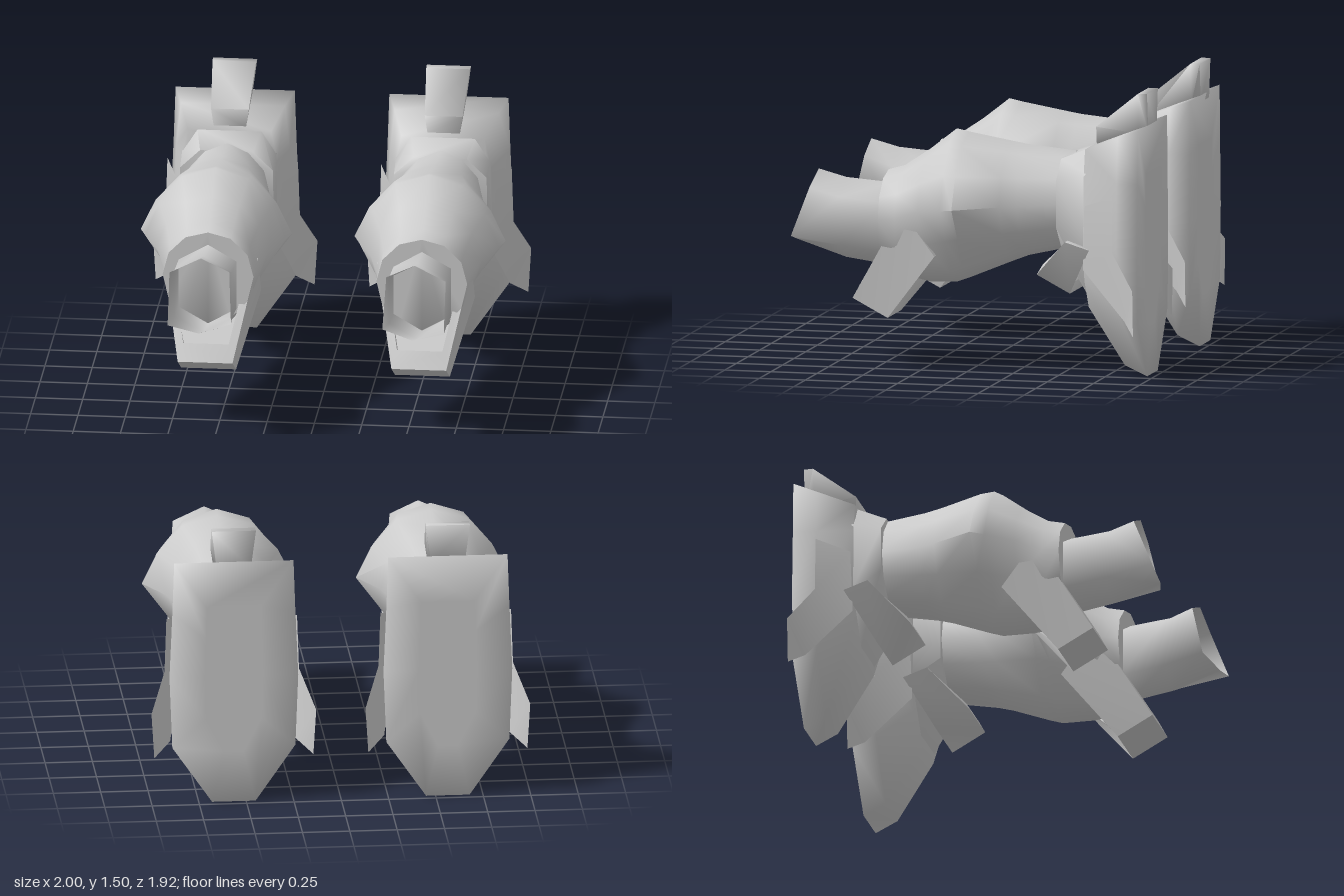
import * as THREE from 'three';
import { toCreasedNormals } from 'three/addons/utils/BufferGeometryUtils.js';

const CX = 0.565; // distance of each unit from the middle

// Skin a list of equal-length rings of [x, y, z]; end caps are optional.
function loft(rings, { caps = true, crease = Math.PI } = {}) {
  const n = rings[0].length;
  const pts = rings.flat();
  const idx = [];
  for (let r = 0; r < rings.length - 1; r++) {
    for (let i = 0; i < n; i++) {
      const a = r * n + i, b = r * n + (i + 1) % n;
      idx.push(a, b, b + n, a, b + n, a + n);
    }
  }
  if (caps) {
    const e = (rings.length - 1) * n;
    for (let i = 1; i < n - 1; i++) idx.push(0, i + 1, i, e, e + i, e + i + 1);
  }
  // Turn the faces outward when the signed volume is negative
  const v = pts.map(p => new THREE.Vector3(...p));
  const c = v.reduce((s, p) => s.add(p), new THREE.Vector3()).divideScalar(v.length);
  let vol = 0;
  for (let i = 0; i < idx.length; i += 3) {
    const [a, b, d] = [0, 1, 2].map(k => v[idx[i + k]].clone().sub(c));
    vol += a.dot(b.cross(d));
  }
  if (vol < 0) idx.reverse();
  const g = new THREE.BufferGeometry();
  g.setAttribute('position', new THREE.Float32BufferAttribute(pts.flat(), 3));
  g.setIndex(idx);
  return toCreasedNormals(g, crease);
}

// Symmetric ring from its right half, listed top to bottom
function mirrorRing(half) {
  const left = half.filter(p => p[0] > 0).reverse().map(([x, y, z]) => [-x, y, z]);
  return [...half, ...left];
}

// Body ring: round where narrow, with a tapering underside where it bulges
const ROUND = [[0, 1], [0.5, 0.87], [0.87, 0.5], [1, 0], [0.87, -0.5], [0.5, -0.87], [0, -1]];
const BULGE = [[0, 1], [0.47, 0.86], [0.8, 0.46], [1, 0], [0.68, -0.42], [0.4, -0.83], [0, -1]];
function bodyRing(z, top, bottom, halfWidth, wideY) {
  const t = THREE.MathUtils.clamp((halfWidth - 0.24) / 0.1, 0, 1);
  return mirrorRing(ROUND.map(([rx, ry], i) => {
    const x = THREE.MathUtils.lerp(rx, BULGE[i][0], t);
    const y = THREE.MathUtils.lerp(ry, BULGE[i][1], t);
    return [x * halfWidth, wideY + y * (y > 0 ? top - wideY : wideY - bottom), z];
  }));
}

// U-shaped strap; each station is [outer x, inner x, front [y, z], back [y, z], inner lift]
function strap(stations) {
  const ring = ([xo, xi, f, b, lift], s) => [
    [s * xo, f[0], f[1]], [s * xo, b[0], b[1]],
    [s * xi, b[0] + lift, b[1]], [s * xi, f[0] + lift, f[1] - lift * 0.5],
  ];
  return loft([...stations.map(t => ring(t, 1)), ...stations.slice().reverse().map(t => ring(t, -1))],
    { crease: 1.2 });
}

function buildUnit(side) {
  const unit = new THREE.Group();
  unit.name = side > 0 ? 'leftUnit' : 'rightUnit';

  const add = (name, geometry, doubleSided = false) => {
    // Bake the mirroring into the vertices
    const pos = geometry.attributes.position, nor = geometry.attributes.normal;
    for (let i = 0; i < pos.count; i++) {
      pos.setX(i, side * (pos.getX(i) + CX));
      nor.setX(i, nor.getX(i) * side);
    }
    if (side < 0) {
      for (const attr of [pos, nor]) {
        for (let i = 0; i < attr.count; i += 3) {
          const b = [attr.getX(i + 1), attr.getY(i + 1), attr.getZ(i + 1)];
          attr.setXYZ(i + 1, attr.getX(i + 2), attr.getY(i + 2), attr.getZ(i + 2));
          attr.setXYZ(i + 2, ...b);
        }
      }
    }
    const material = new THREE.MeshStandardMaterial({
      color: 0xcccccc, side: doubleSided ? THREE.DoubleSide : THREE.FrontSide,
    });
    const mesh = new THREE.Mesh(geometry, material);
    mesh.name = name;
    unit.add(mesh);
  };

  // Bulging main body
  add('body', loft([
    [0.47, 1.04, 0.53, 0.24, 0.80],
    [0.38, 1.065, 0.48, 0.245, 0.81],
    [0.24, 1.16, 0.45, 0.295, 0.86],
    [0.10, 1.27, 0.455, 0.37, 0.88],
    [0.03, 1.255, 0.48, 0.40, 0.89],
    [-0.20, 1.215, 0.575, 0.29, 0.90],
    [-0.29, 1.20, 0.61, 0.265, 0.90],
    [-0.55, 1.175, 0.67, 0.22, 0.92],
  ].map(r => bodyRing(...r)), { crease: 1.1 }));

  // Open hexagonal muzzle with a slanted mouth
  const hexRing = (z, top, bottom) => {
    const h = top - bottom;
    return [[0, top, z], [0.155, top - h * 0.2, z], [0.155, bottom + h * 0.2, z],
      [0, bottom, z], [-0.15, bottom + h * 0.2, z], [-0.15, top - h * 0.2, z]];
  };
  add('muzzle', loft([
    hexRing(0.45, 0.97, 0.53),
    hexRing(0.70, 0.99, 0.565),
    [[0, 1.03, 0.85], [0.165, 0.95, 0.86], [0.165, 0.69, 0.96],
      [0, 0.65, 0.96], [-0.165, 0.69, 0.91], [-0.15, 0.96, 0.85]],
  ], { caps: false }), true);

  // Front strap, hanging forward under the body, with the web that fills its back
  add('frontStrap', strap([
    [0.25, 0.21, [0.86, 0.34], [0.62, 0.16], 0],
    [0.145, 0.12, [0.37, 0.63], [0.27, 0.44], 0.09],
  ]));
  add('strapWeb', loft([
    mirrorRing([[0.205, 0.66, 0.20], [0.205, 0.74, 0.28]]),
    mirrorRing([[0.125, 0.31, 0.45], [0.125, 0.38, 0.52]]),
  ], { crease: 0.6 }));

  // Rear strap, a smaller copy of the same idea
  add('rearStrap', strap([
    [0.30, 0.24, [0.73, -0.56], [0.69, -0.69], 0],
    [0.15, 0.12, [0.53, -0.37], [0.435, -0.55], 0.05],
  ]));

  // Collar joining the body to the flared rear shell
  add('collar', loft([
    mirrorRing([[0.14, 1.15, -0.50], [0.245, 1.05, -0.50], [0.25, 0.80, -0.50], [0.12, 0.66, -0.50]]),
    mirrorRing([[0.17, 1.215, -0.66], [0.25, 1.09, -0.66], [0.255, 0.70, -0.66], [0.12, 0.41, -0.65]]),
  ], { crease: 1.2 }));

  // Flared rear shell with a pointed lower end; the last ring insets the flat back
  const rim = [[0.315, 1.335, -0.96], [0.325, 1.05, -0.96], [0.34, 0.70, -0.96], [0.325, 0.31, -0.96], [0.115, 0.005, -0.96]];
  add('rearShell', loft([
    mirrorRing([[0.22, 1.215, -0.65], [0.255, 1.05, -0.65], [0.26, 0.70, -0.65], [0.235, 0.52, -0.65], [0.10, 0.36, -0.64]]),
    mirrorRing([[0.275, 1.29, -0.84], [0.30, 1.05, -0.84], [0.31, 0.70, -0.84], [0.29, 0.37, -0.84], [0.115, 0.06, -0.84]]),
    mirrorRing(rim),
    mirrorRing(rim.map(([x, y, z]) => [x * 0.45, 0.7 + (y - 0.7) * 0.6, z])),
  ]));

  // Wedge fin on top of the shell, narrower at its foot
  const finRing = (z, w, foot, top, bottom) => mirrorRing([[w, top, z], [foot, bottom, z]]);
  add('topFin', loft([
    finRing(-0.68, 0.10, 0.085, 1.32, 1.22),
    finRing(-0.91, 0.115, 0.09, 1.505, 1.29),
    finRing(-0.96, 0.117, 0.09, 1.505, 1.30),
  ], { crease: 1.7 }));

  // Thin outward flaps on both flanks of the shell, kicking out at the lower rear
  for (const s of [1, -1]) {
    const flap = [
      [0.275, 0.92, -0.66], [0.345, 0.985, -0.83], [0.355, 0.69, -0.83],
      [0.435, 0.50, -0.96], [0.42, 0.255, -0.96], [0.33, 0.325, -0.89], [0.265, 0.58, -0.65],
    ].map(([x, y, z]) => [s * x, y, z]);
    const tris = [0, 1, 2, 0, 2, 6, 2, 5, 6, 2, 3, 5, 3, 4, 5];
    if (s > 0) tris.reverse();
    const g = new THREE.BufferGeometry();
    g.setAttribute('position', new THREE.Float32BufferAttribute(tris.flatMap(i => flap[i]), 3));
    add(s > 0 ? 'outerFlap' : 'innerFlap', toCreasedNormals(g, 1), true);
  }
  return unit;
}

export function createModel() {
  const model = new THREE.Group();
  model.name = 'pairedUnits';
  model.add(buildUnit(1), buildUnit(-1));
  return model;
}
